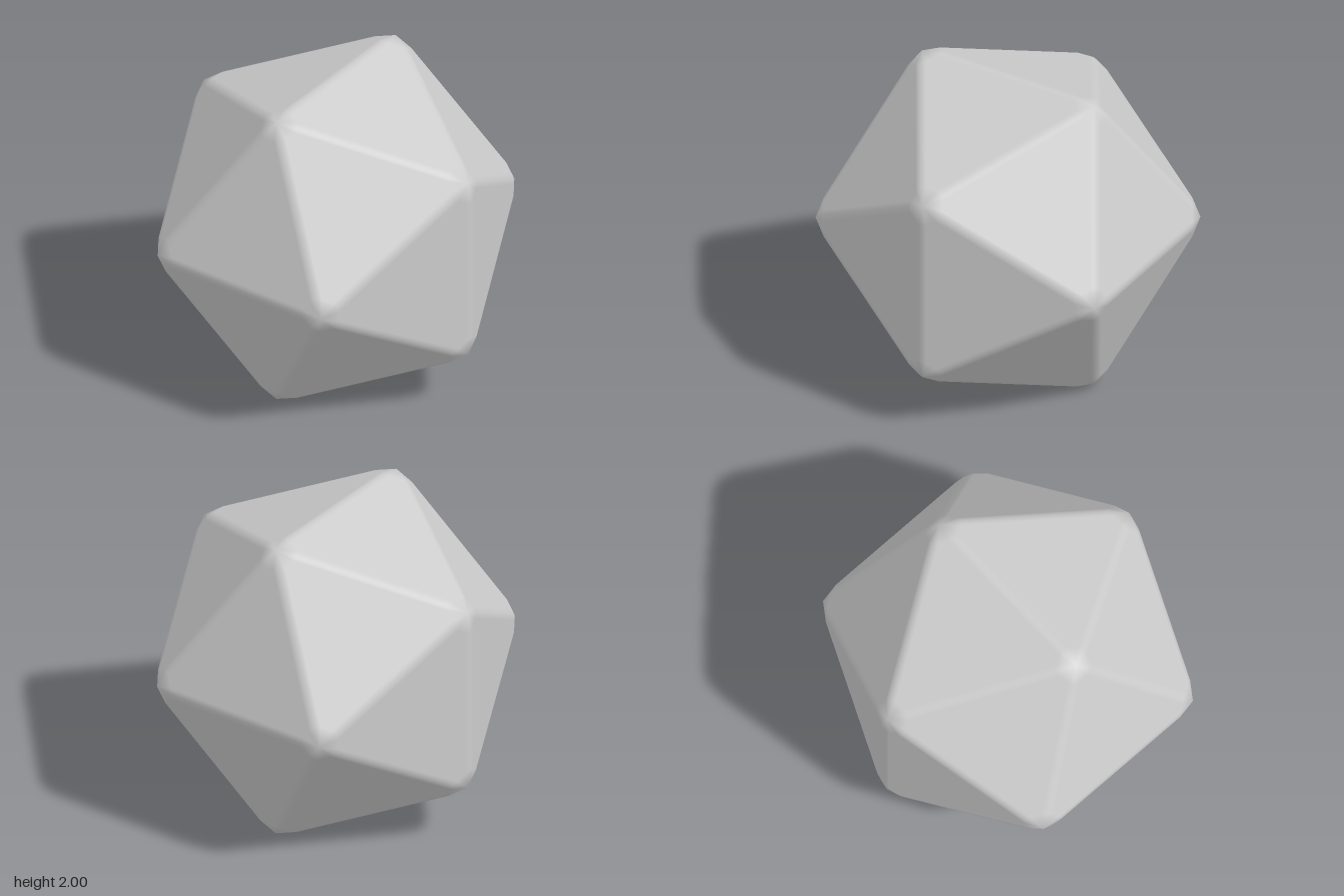
import * as THREE from 'three';

const ROUND = 0.1;     // radius of the rounded edges
const CUT = 1.102;     // height along a corner's axis where its cap begins
const TIP = 1.15;      // height of the cap's tip
const STEPS = 6;       // segments across a rounded edge

export function createModel() {
  // Corner directions of the icosahedron: three golden rectangles
  const g = (Math.sqrt(5) - 1) / 2;
  const corners = [];
  for (const a of [-g, g]) for (const b of [-1, 1]) {
    corners.push(new THREE.Vector3(a, b, 0), new THREE.Vector3(0, a, b), new THREE.Vector3(b, 0, a));
  }
  const axes = corners.map(c => c.clone().normalize());
  const near = (i, j) => i !== j && axes[i].dot(axes[j]) > 0.4;
  const faceNormal = (i, j, k) => axes[i].clone().add(axes[j]).add(axes[k]).normalize();

  // Point, with its normal, where a line along edge i-j meets the cap of corner i
  const strand = (i, j, normal) => {
    const along = corners[j].clone().sub(corners[i]).normalize();
    const p = corners[i].clone().multiplyScalar(1 - ROUND).addScaledVector(normal, ROUND);
    p.addScaledVector(along, (CUT - p.dot(axes[i])) / along.dot(axes[i]));
    return { p, normal };
  };
  const tip = i => ({ p: axes[i].clone().multiplyScalar(TIP), normal: axes[i] });

  const positions = [], normals = [];
  const triangle = (a, b, c) => {
    const cross = b.p.clone().sub(a.p).cross(c.p.clone().sub(a.p));
    const outward = cross.dot(a.p) > 0;
    for (const v of outward ? [a, b, c] : [a, c, b]) {
      positions.push(...v.p);
      normals.push(...v.normal);
    }
  };

  for (let i = 0; i < 12; i++) for (let j = i + 1; j < 12; j++) {
    if (!near(i, j)) continue;
    const shared = axes.map((_, k) => k).filter(k => near(i, k) && near(j, k));

    // Rounded edge and its share of the two corner caps
    const [n1, n2] = shared.map(k => faceNormal(i, j, k));
    const angle = n1.angleTo(n2);
    const arc = s => n1.clone().multiplyScalar(Math.sin((1 - s) * angle))
      .addScaledVector(n2, Math.sin(s * angle)).normalize();
    for (let s = 0; s < STEPS; s++) {
      const d0 = arc(s / STEPS), d1 = arc((s + 1) / STEPS);
      const a = strand(i, j, d0), b = strand(j, i, d0), c = strand(j, i, d1), d = strand(i, j, d1);
      triangle(a, b, c);
      triangle(a, c, d);
      triangle(tip(i), a, d);
      triangle(tip(j), b, c);
    }

    // Flat faces with cut corners
    for (const k of shared.filter(k => k > j)) {
      const n = faceNormal(i, j, k);
      const ring = [[i, j], [j, i], [j, k], [k, j], [k, i], [i, k]].map(([a, b]) => strand(a, b, n));
      for (let m = 1; m < 5; m++) triangle(ring[0], ring[m], ring[m + 1]);
      triangle(tip(i), ring[5], ring[0]);
      triangle(tip(j), ring[1], ring[2]);
      triangle(tip(k), ring[3], ring[4]);
    }
  }

  const geometry = new THREE.BufferGeometry();
  geometry.setAttribute('position', new THREE.Float32BufferAttribute(positions, 3));
  geometry.setAttribute('normal', new THREE.Float32BufferAttribute(normals, 3));

  const grey = new THREE.MeshStandardMaterial({ color: 0xcccccc });
  grey.name = 'light grey';
  const die = new THREE.Mesh(geometry, grey);
  die.name = 'roundedIcosahedron';
  die.position.y = 1;

  const model = new THREE.Group();
  model.name = 'twentySidedDie';
  model.add(die);
  return model;
}
